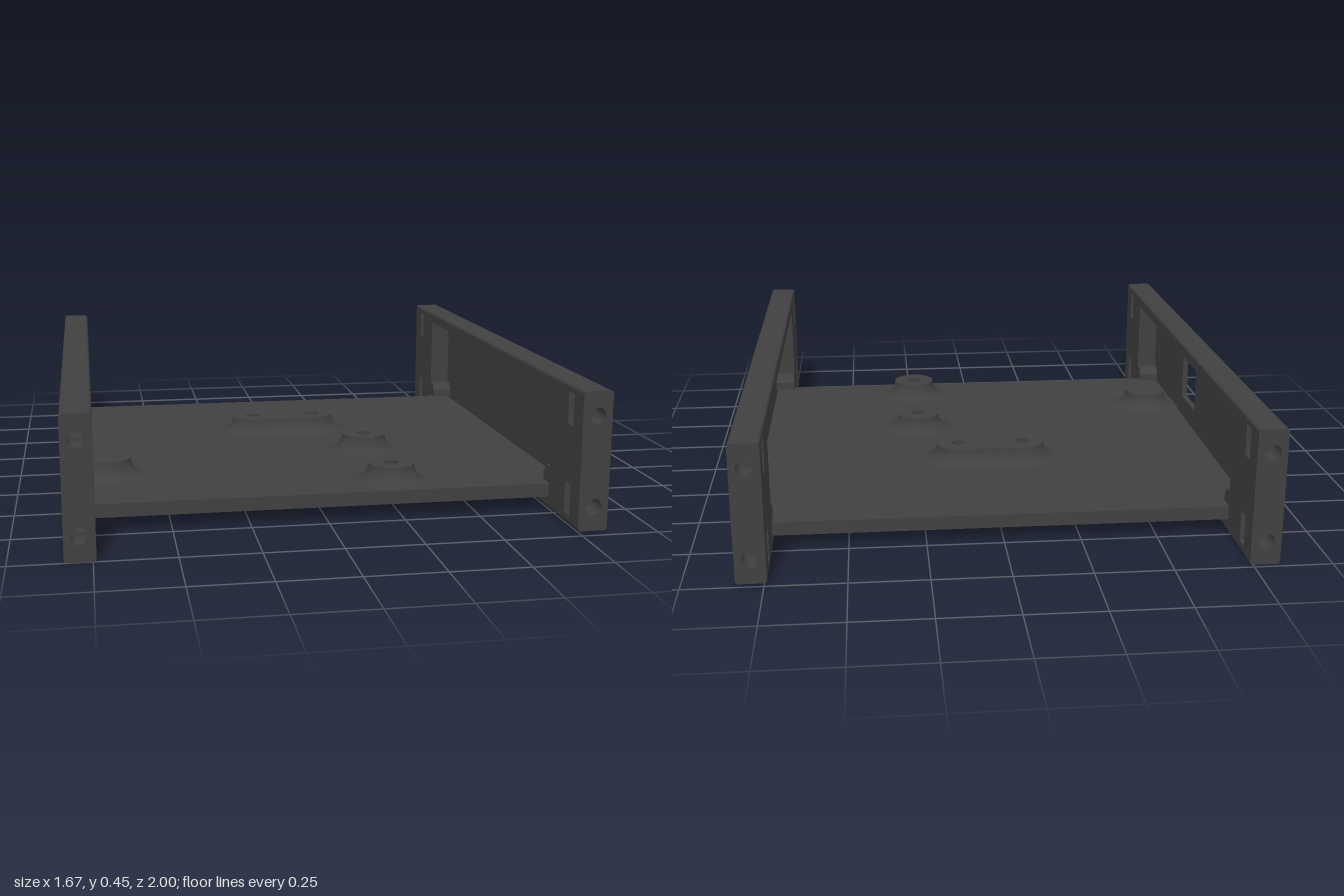
import * as THREE from 'three';

const material = new THREE.MeshStandardMaterial({ color: 0x404040 });
const skirtMaterial = new THREE.MeshStandardMaterial({ color: 0x404040, side: THREE.DoubleSide });

function add(parent, geometry, name, mat = material) {
  const mesh = new THREE.Mesh(geometry, mat);
  mesh.name = name;
  parent.add(mesh);
  return mesh;
}

const extrude = (shape, depth) =>
  new THREE.ExtrudeGeometry(shape, { depth, bevelEnabled: false, curveSegments: 16 });

function circle(x, y, r, turns = 24) {
  const path = new THREE.Path();
  for (let i = 0; i < turns; i++) {
    const a = (i / turns) * Math.PI * 2;
    const px = x + r * Math.cos(a), py = y + r * Math.sin(a);
    if (i) path.lineTo(px, py); else path.moveTo(px, py);
  }
  path.closePath();
  return path;
}

// ---- Side rails: cross-sections extruded along z, slice by slice ----
const W = 0.0475, H = 0.445, HALF = 0.9925, R = 0.012;
const POCKET = 0.73, WALL = 0.02, LIP = 0.042;
const SCREW_Y = [0.078, 0.368];
const WINDOW = { z0: 0.04, z1: 0.24, y0: 0.16, y1: 0.35 };

// Rectangle between two heights, with rounded bottom and/or top corners
function band(y0, y1, rb = 0, rt = 0) {
  const s = new THREE.Shape();
  s.moveTo(-W + rb, y0).lineTo(W - rb, y0);
  if (rb) s.quadraticCurveTo(W, y0, W, y0 + rb);
  s.lineTo(W, y1 - rt);
  if (rt) s.quadraticCurveTo(W, y1, W - rt, y1);
  s.lineTo(-W + rt, y1);
  if (rt) s.quadraticCurveTo(-W, y1, -W, y1 - rt);
  s.lineTo(-W, y0 + rb);
  if (rb) s.quadraticCurveTo(-W, y0, -W + rb, y0);
  return s;
}

// Half of the C-shaped section: the flange and its part of the outer wall
function channelPart(yFrom, yTo, top) {
  const s = new THREE.Shape();
  const m = top ? (y) => H - y : (y) => y;
  const h = top ? H - yFrom : yTo;
  s.moveTo(-W, m(R));
  s.quadraticCurveTo(-W, m(0), -W + R, m(0));
  s.lineTo(W - R, m(0));
  s.quadraticCurveTo(W, m(0), W, m(R));
  s.lineTo(W, m(LIP)).lineTo(-W + WALL, m(LIP)).lineTo(-W + WALL, m(h)).lineTo(-W, m(h));
  return s;
}

function makeRail(name, hasWindow) {
  const rail = new THREE.Group();
  rail.name = name;
  const slice = (shape, z0, z1, part) => add(rail, extrude(shape, z1 - z0).translate(0, 0, z0), part);

  // Ends: screw holes along z, crossed by nut slots
  for (const s of [-1, 1]) {
    const end = (shape, a, b, part) => slice(shape, Math.min(s * a, s * b), Math.max(s * a, s * b), part);
    const drilled = band(0, H, R, R);
    for (const y of SCREW_Y) drilled.holes.push(circle(0, y, 0.026));
    end(drilled, 0.917, HALF, 'railEnd');
    end(band(0, 0.03, R, 0), 0.87, 0.917, 'slotFloor');
    end(band(0.13, 0.32), 0.87, 0.917, 'slotDivider');
    end(band(0.42, H, 0, R), 0.87, 0.917, 'slotRoof');
    end(drilled, 0.8, 0.87, 'railEndInner');
    end(band(0, H, R, R), POCKET, 0.8, 'pocketEnd');

    // Small chamfered tab holding down the tray corner
    const tab = new THREE.Shape();
    tab.moveTo(0, 0.085).lineTo(0.05, 0.085).lineTo(0.05, 0.115).lineTo(0.03, 0.14).lineTo(0, 0.14);
    const g = extrude(tab, 2 * W - WALL).translate(0, 0, -W + WALL);
    // Shape runs along x; turn it to run inward along z
    if (s < 0) g.rotateY(-Math.PI / 2).translate(WALL, 0, -POCKET);
    else g.rotateY(Math.PI / 2).translate(0, 0, POCKET);
    add(rail, g, 'trayTab');
  }

  // Hollow middle, open toward the tray
  const mid = H / 2;
  const runs = hasWindow
    ? [[-POCKET, WINDOW.z0, mid, mid], [WINDOW.z0, WINDOW.z1, WINDOW.y0, WINDOW.y1], [WINDOW.z1, POCKET, mid, mid]]
    : [[-POCKET, POCKET, mid, mid]];
  for (const [z0, z1, low, high] of runs) {
    slice(channelPart(0, low, false), z0, z1, 'lowerChannel');
    slice(channelPart(high, H, true), z0, z1, 'upperChannel');
  }
  return rail;
}

// ---- Raised screw bosses with a concave foot ----
const TRAY_LOW = 0.045, TRAY_TOP = 0.09, BOSS_TOP = 0.15, BOSS_R = 0.077, FILLET = 0.06;

function addBoss(parent, name, x, z, half, holes) {
  const boss = new THREE.Group();
  boss.name = name;
  boss.position.set(x, 0, z);
  parent.add(boss);

  const core = new THREE.Shape();
  core.absarc(half, 0, BOSS_R, -Math.PI / 2, Math.PI / 2, false);
  core.absarc(-half, 0, BOSS_R, Math.PI / 2, Math.PI * 1.5, false);
  for (const hx of holes) core.holes.push(circle(hx, 0, 0.025));
  const coreGeometry = extrude(core, BOSS_TOP - TRAY_TOP);
  add(boss, coreGeometry.rotateX(-Math.PI / 2).translate(0, TRAY_TOP, 0), 'bossCore');

  // Foot: a lathe pulled apart along x for the long boss
  const profile = [];
  for (let i = 0; i <= 8; i++) {
    const a = (i / 8) * Math.PI / 2;
    profile.push(new THREE.Vector2(
      BOSS_R + FILLET * (1 - Math.sin(a)), BOSS_TOP - FILLET * Math.cos(a)));
  }
  const foot = new THREE.LatheGeometry(profile, 40, Math.PI / 40);
  const p = foot.attributes.position;
  for (let i = 0; i < p.count; i++) p.setX(i, p.getX(i) + Math.sign(p.getX(i)) * half);
  add(boss, foot, 'bossFoot', skirtMaterial);
}

export function createModel() {
  const model = new THREE.Group();
  model.name = 'mountingTray';

  // Rails sit slightly offset from each other
  const windowRail = makeRail('rightRail', true);
  windowRail.position.set(-0.7875, 0, 0.0075);
  const plainRail = makeRail('leftRail', false);
  plainRail.rotation.y = Math.PI;
  plainRail.position.set(0.7875, 0.01, -0.0075);
  model.add(windowRail, plainRail);

  // Tray plate with hexagonal nut recesses underneath
  const plate = new THREE.Shape();
  plate.moveTo(-0.81, -0.715).lineTo(0.81, -0.715).lineTo(0.81, 0.73).lineTo(-0.81, 0.73);
  for (const [x, z] of [[-0.12, -0.2], [0.11, -0.2], [0.24, 0.155], [0.24, 0.583]])
    plate.holes.push(circle(x, -z, 0.042, 6));
  add(model, extrude(plate, TRAY_TOP - TRAY_LOW).rotateX(-Math.PI / 2).translate(0, TRAY_LOW, 0), 'trayPlate');

  addBoss(model, 'longBoss', -0.005, -0.2, 0.115, [-0.115, 0.115]);
  addBoss(model, 'middleBoss', 0.24, 0.155, 0, [0]);
  addBoss(model, 'frontBoss', 0.24, 0.583, 0, [0]);
  addBoss(model, 'restingBoss', -0.69, 0.365, 0, []);
  return model;
}
